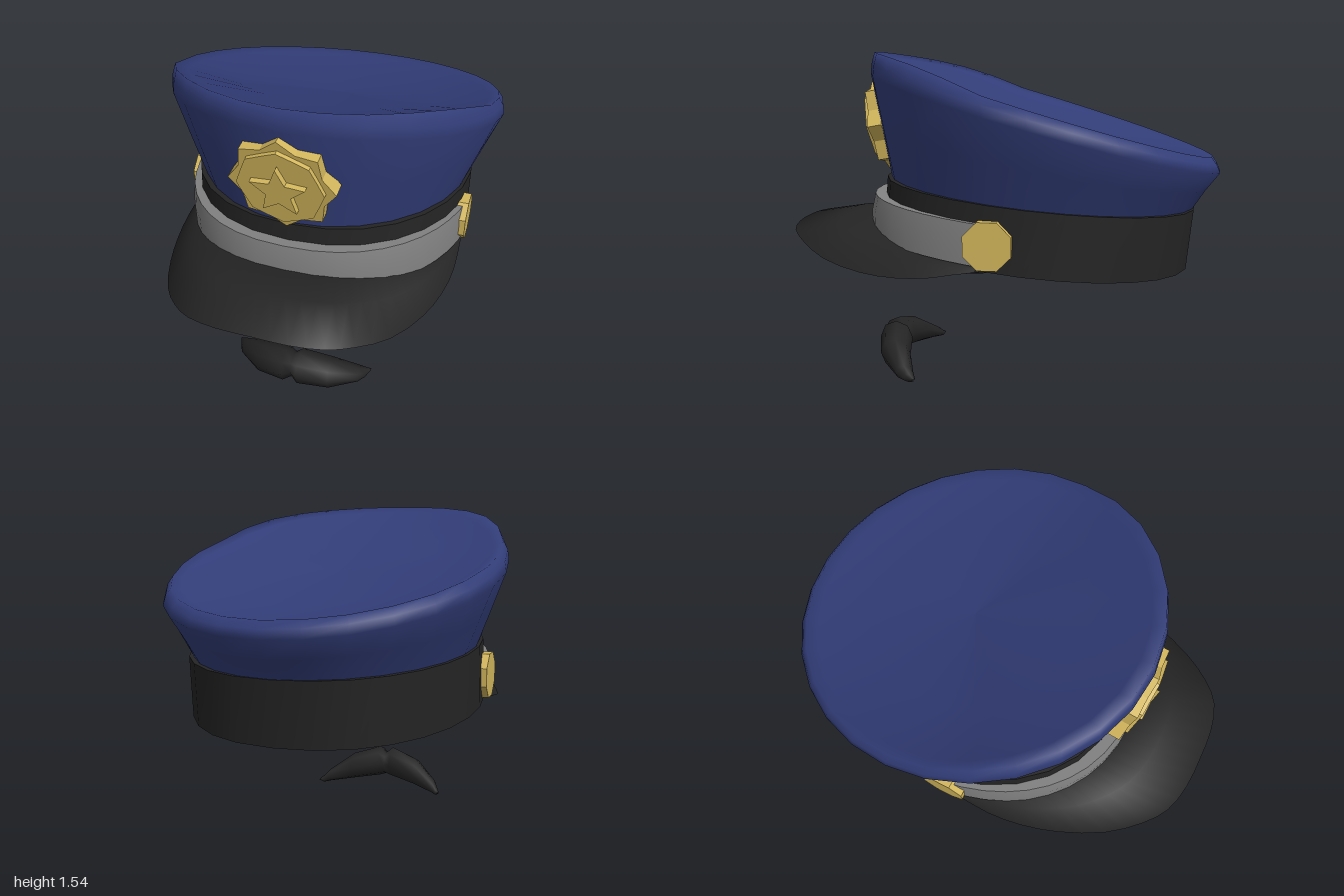
import * as THREE from 'three';

const mat = (name, color, side = THREE.FrontSide) => {
  const m = new THREE.MeshStandardMaterial({ color, side });
  m.name = name;
  return m;
};

// Skin a list of equal-length rings of [x, y, z]
function loft(rings, closed = true) {
  const n = rings[0].length, index = [];
  for (let i = 0; i < rings.length - 1; i++) {
    for (let j = 0; j < (closed ? n : n - 1); j++) {
      const k = (j + 1) % n;
      const a = i * n + j, b = i * n + k, c = a + n, d = b + n;
      index.push(a, b, d, a, d, c);
    }
  }
  const g = new THREE.BufferGeometry();
  g.setAttribute('position', new THREE.Float32BufferAttribute(rings.flat(2), 3));
  g.setIndex(index);
  g.computeVertexNormals();
  return g;
}

// Oval ring whose height is a function of z; slightly squared when pow < 1
const SEG = 28;
function oval(hx, hz, cz, yOf, pow = 1) {
  return Array.from({ length: SEG }, (_, j) => {
    const a = (j / SEG) * Math.PI * 2, s = Math.sin(a);
    const z = cz + hz * Math.cos(a);
    return [hx * Math.sign(s) * Math.abs(s) ** pow, yOf(z), z];
  });
}

function starShape(points, outer, inner) {
  const s = new THREE.Shape();
  for (let i = 0; i < points * 2; i++) {
    const r = i % 2 ? inner : outer, a = (i / points) * Math.PI;
    s[i ? 'lineTo' : 'moveTo'](r * Math.sin(a), r * Math.cos(a));
  }
  s.closePath();
  return s;
}

export function createModel() {
  const group = new THREE.Group();
  const navy = mat('navy cloth', 0x323d78);
  const black = mat('black', 0x242424);
  const grey = mat('grey strap', 0x828282, THREE.DoubleSide);
  const gold = mat('gold', 0xd2b65c);
  const add = (name, geo, material, parent = group) => {
    const m = new THREE.Mesh(geo, material);
    m.name = name;
    parent.add(m);
    return m;
  };

  // Crown: flares up to a slanted rim, then dips into a shallow dish
  const rimY = (drop) => (z) =>
    1.357 + 0.3 * z + (z > 0 ? 0.025 * Math.sin((Math.PI * z) / 0.62) : 0) - drop;
  add('crown', loft([
    oval(0.635, 0.71, -0.165, (z) => 0.9 + 0.093 * z),
    oval(0.705, 0.765, -0.175, (z) => 1.1 + 0.19 * z),
    oval(0.765, 0.815, -0.185, (z) => 1.276 + 0.276 * z),
    oval(0.757, 0.803, -0.18, (z) => 1.32 + 0.288 * z),
    oval(0.735, 0.785, -0.175, rimY(0)),
    oval(0.69, 0.73, -0.175, rimY(0.02)),
    oval(0.45, 0.48, -0.175, rimY(0.065)),
    oval(0, 0, -0.175, rimY(0.085)),
  ]), navy);

  // Head band with its closed underside and top ledge
  const bottomY = (z) => 0.642 + 0.093 * z, topY = (z) => 0.918 + 0.093 * z;
  const low = oval(0.66, 0.725, -0.14, bottomY, 0.9);
  const high = oval(0.655, 0.725, -0.165, topY, 0.9);
  add('headBand', loft([low, high]), black);
  add('bandUnderside', loft([oval(0, 0, -0.14, bottomY), low]), black);
  add('bandLedge', loft([high, oval(0.58, 0.65, -0.165, topY)]), black);

  // Front strap: wraps the band between the two buttons
  const END = (80 * Math.PI) / 180;
  const strapRow = (extra, yOf) => Array.from({ length: 21 }, (_, i) => {
    const a = (i / 10 - 1) * END, s = Math.sin(a), c = Math.cos(a);
    const off = extra * (0.025 + 0.035 * c * c);
    const z = -0.155 + (0.725 + off) * c;
    return [(0.655 + off) * Math.sign(s) * Math.abs(s) ** 0.88, yOf(z), z];
  });
  const strapTop = (z) => 0.84 + 0.09 * z;
  const strapOuterTop = strapRow(0.8, strapTop);
  add('strapFront', loft([
    strapRow(1.1, (z) => 0.665 + 0.09 * z),
    strapRow(1.1, (z) => 0.76 + 0.09 * z),
    strapOuterTop,
  ], false), grey);
  add('strapTopEdge', loft([strapOuterTop, strapRow(-0.3, strapTop)], false), grey);

  // Visor: swept closed cross-section that droops at the sides
  const half = [
    [0, 0.74, 1], [0.15, 0.735, 0.995], [0.29, 0.72, 0.96], [0.39, 0.69, 0.885],
    [0.5, 0.64, 0.75], [0.595, 0.607, 0.55], [0.645, 0.602, 0.38],
    [0.668, 0.615, 0.22], [0.665, 0.65, 0.04],
  ];
  const edge = new THREE.CatmullRomCurve3(
    [...half.slice(1).reverse().map(([x, y, z]) => [-x, y, z]), ...half]
      .map((p) => new THREE.Vector3(...p)));
  const visorRings = [];
  for (let i = 0; i <= 32; i++) {
    const t = i / 16 - 1, a = t * END, e = edge.getPoint(i / 32);
    const w = Math.cos((t * Math.PI) / 2);
    const x = 0.65 * Math.sin(a), z = -0.15 + 0.725 * Math.cos(a);
    const yTop = 0.675 + 0.19 * z, yLow = 0.64 + 0.07 * z;
    const mx = (x + e.x) / 2, mz = (z + e.z) / 2;
    visorRings.push([
      [x, yTop, z],
      [mx, (yTop + e.y) / 2 + 0.012 * w, mz],
      [e.x, e.y, e.z],
      [mx + (e.x - x) * 0.2, (yLow + e.y) / 2 - 0.03 * w, mz + (e.z - z) * 0.2],
      [x, yLow, z],
    ]);
  }
  add('visor', loft(visorRings), black);

  // Eight-sided side buttons
  for (const side of [-1, 1]) {
    const geo = new THREE.CylinderGeometry(0.108, 0.108, 0.065, 8).toNonIndexed();
    geo.rotateY(Math.PI / 8);
    geo.rotateZ(Math.PI / 2);
    geo.computeVertexNormals();
    add(side > 0 ? 'leftButton' : 'rightButton', geo, gold)
      .position.set(side * 0.648, 0.755, -0.012);
  }

  // Badge: stacked plates leaning with the crown front
  const badge = new THREE.Group();
  badge.name = 'badge';
  badge.position.set(0, 1.2, 0.6);
  badge.rotation.x = 0.17;
  group.add(badge);
  const plate = (name, shape, z0, z1) => add(name,
    new THREE.ExtrudeGeometry(shape, { depth: z1 - z0, bevelEnabled: false }), gold, badge)
    .position.set(0, 0, z0);
  plate('badgeBase', starShape(8, 0.228, 0.188), -0.05, 0.016);
  plate('badgeDisc', starShape(8, 0.185, 0.172), 0.01, 0.035);
  plate('badgeStar', starShape(5, 0.122, 0.055), 0.03, 0.06);

  // Moustache: sections of [x, centre y, centre z, half height, half depth]
  const sections = [
    [0, 0.115, 0.55, 0.06, 0.06], [0.035, 0.122, 0.56, 0.083, 0.083],
    [0.18, 0.088, 0.525, 0.073, 0.075], [0.3, 0.04, 0.45, 0.034, 0.045],
    [0.325, 0.025, 0.42, 0.02, 0.028], [0.345, 0.025, 0.395, 0.003, 0.006],
  ];
  const all = [...sections.slice(1).reverse().map(([x, ...r]) => [-x, ...r]), ...sections];
  add('moustache', loft(all.map(([x, y, z, h, d]) =>
    Array.from({ length: 8 }, (_, j) => {
      const a = (j / 8) * Math.PI * 2;
      return [x, y + h * Math.cos(a), z + d * Math.sin(a)];
    }))), black);

  return group;
}
